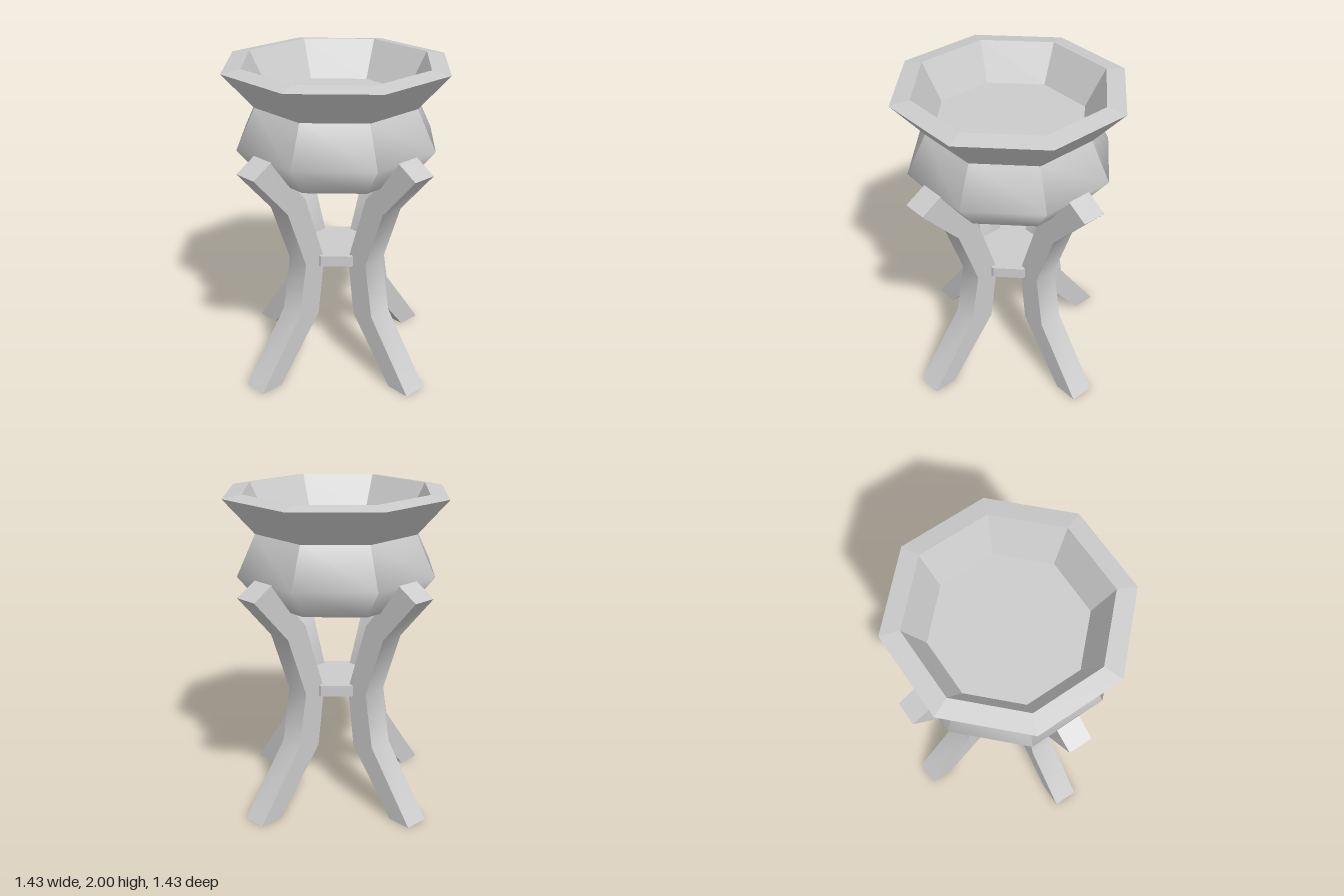
import * as THREE from 'three';
import { toCreasedNormals } from 'three/addons/utils/BufferGeometryUtils.js';

const SIDES = 8;
const STEP = (Math.PI * 2) / SIDES;
const TURN = THREE.MathUtils.degToRad(4.7);   // twist of the octagons
const LEG_ANGLE = THREE.MathUtils.degToRad(17.8);

const material = new THREE.MeshStandardMaterial({ color: 0xcccccc });
const flatMaterial = new THREE.MeshStandardMaterial({ color: 0xcccccc, flatShading: true });

const toPoints = (pairs) => pairs.map(([x, y]) => new THREE.Vector2(x, y));

function add(parent, name, geometry, mat = flatMaterial) {
  const mesh = new THREE.Mesh(geometry, mat);
  mesh.name = name;
  parent.add(mesh);
  return mesh;
}

// Octagonal turned shape with flat facets
const facetedLathe = (pairs) => new THREE.LatheGeometry(toPoints(pairs), SIDES, TURN);

export function createModel() {
  const model = new THREE.Group();
  model.name = 'brazier';

  // Belly: each panel is smooth up its height, with sharp seams between panels
  const belly = new THREE.Group();
  belly.name = 'bowlBelly';
  model.add(belly);
  const bellyProfile = toPoints([[0.49, 1.325], [0.64, 1.51], [0.52, 1.76]]);
  for (let i = 0; i < SIDES; i++) {
    const panel = new THREE.LatheGeometry(bellyProfile, 1, TURN + i * STEP, STEP);
    panel.computeVertexNormals();
    add(belly, 'bellyPanel', panel, material);
  }
  add(model, 'bowlBottom', facetedLathe([[0, 1.325], [0.49, 1.325]]));

  // Flared rim, sloping lip, inner wall and floor
  add(model, 'bowlRim', facetedLathe([
    [0.52, 1.76], [0.715, 1.98], [0.595, 2], [0.47, 1.765], [0, 1.765],
  ]));

  // Small octagonal plate tying the legs together
  add(model, 'bracePlate', facetedLathe([
    [0, 0.735], [0.246, 0.735], [0.246, 0.805], [0, 0.805],
  ]));

  // Four bent legs: outer edge going up, inner edge coming down
  const width = 0.155;
  const legShape = new THREE.Shape(toPoints([
    [0.715, 0], [0.395, 0.435], [0.337, 0.775], [0.476, 1.16], [0.725, 1.44],
    [0.592, 1.52], [0.335, 1.22], [0.185, 0.77], [0.235, 0.4], [0.56, 0],
  ]));
  const legGeometry = toCreasedNormals(
    new THREE.ExtrudeGeometry(legShape, { depth: width, bevelEnabled: false })
      .translate(0, 0, -width / 2), 0.9);
  for (let i = 0; i < 4; i++) {
    const leg = add(model, 'leg', legGeometry, material);
    leg.rotation.y = -LEG_ANGLE - (i * Math.PI) / 2;
  }

  return model;
}
